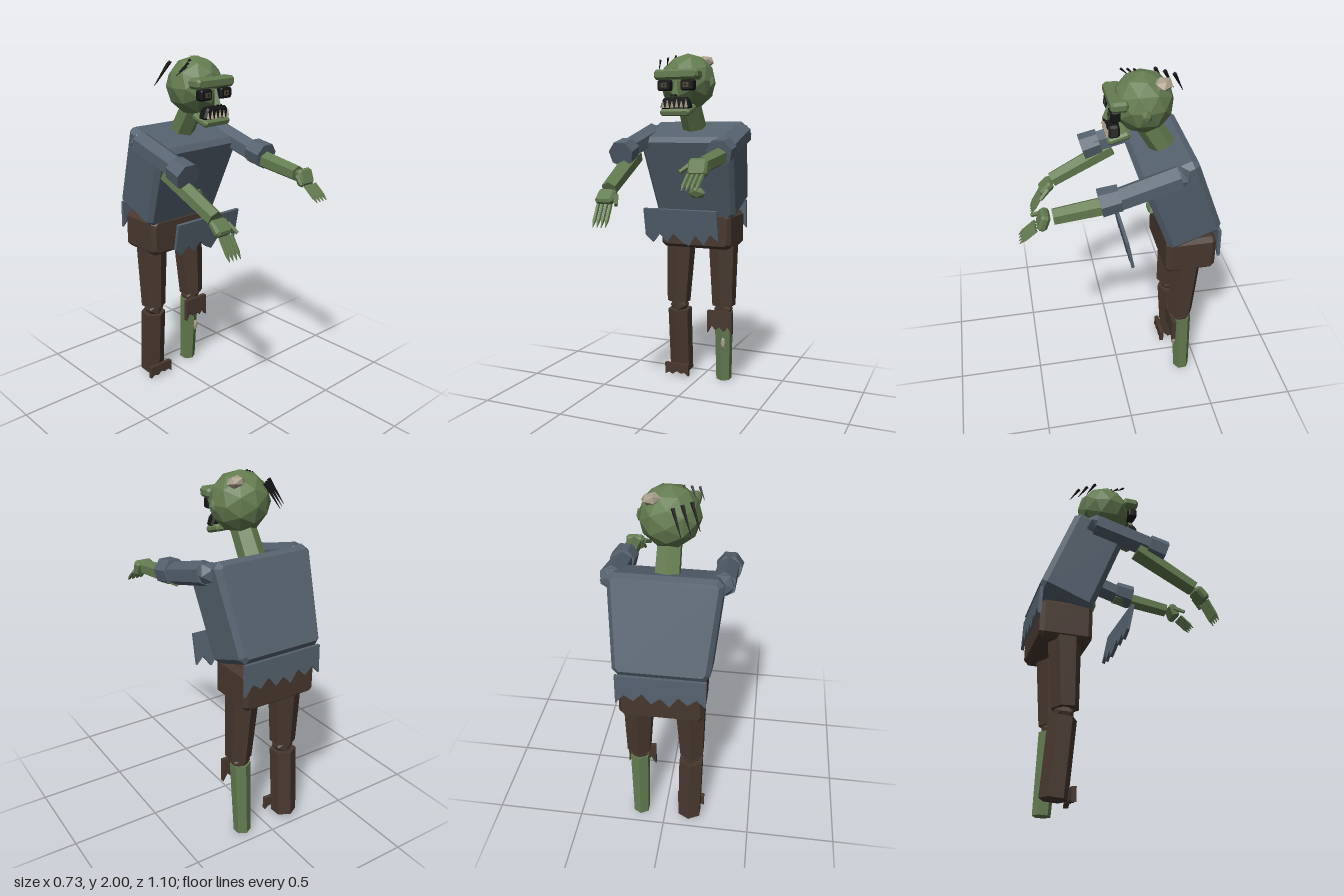
import * as THREE from 'three';

const flat = (name, color, double) => {
  const m = new THREE.MeshStandardMaterial({ color });
  m.name = name;
  m.flatShading = true;
  if (double) m.side = THREE.DoubleSide;
  return m;
};

export function createModel() {
  const skin = flat('skin', 0x647c50);
  const shirt = flat('shirt', 0x55626f, true);
  const pants = flat('trousers', 0x48382f, true);
  const bone = flat('bone', 0xa89e8a);
  const black = flat('black', 0x151515);
  const iris = flat('dull eye', 0x4a4632);

  const model = new THREE.Group();
  model.name = 'undeadFigure';
  const V = (p) => new THREE.Vector3(...p);

  const add = (name, geo, mat, pos = [0, 0, 0], rot = [0, 0, 0]) => {
    const mesh = new THREE.Mesh(geo, mat);
    mesh.name = name;
    mesh.position.set(...pos);
    mesh.rotation.set(...rot);
    model.add(mesh);
    return mesh;
  };

  // Tapered prism running from point a to point b
  const limb = (name, a, b, ra, rb, mat, sides = 6) => {
    const from = V(a), dir = V(b).sub(from);
    const mesh = add(name, new THREE.CylinderGeometry(rb, ra, dir.length(), sides), mat);
    mesh.position.copy(from).addScaledVector(dir, 0.5);
    mesh.quaternion.setFromUnitVectors(new THREE.Vector3(0, 1, 0), dir.normalize());
    return mesh;
  };

  // Box with chamfered edges, optionally narrower at the bottom
  const chamferBox = (wTop, wBottom, h, d, c) => {
    const t = wTop / 2, b = wBottom / 2, y = h / 2;
    const shape = new THREE.Shape([
      [-b + c, -y], [b - c, -y], [b, -y + c], [t, y - c],
      [t - c, y], [-t + c, y], [-t, y - c], [-b, -y + c],
    ].map(([px, py]) => new THREE.Vector2(px, py)));
    const geo = new THREE.ExtrudeGeometry(shape, {
      depth: d - 2 * c, bevelEnabled: true, bevelThickness: c,
      bevelSize: c * 0.8, bevelOffset: -c * 0.8, bevelSegments: 1,
    });
    return geo.translate(0, 0, -d / 2 + c);
  };

  // Faceted lump
  const lump = (name, mat, pos, size, rot, detail = 0) => {
    add(name, new THREE.IcosahedronGeometry(1, detail), mat, pos, rot).scale.set(...size);
  };

  // Cloth plate with a ragged lower edge, hung from its top centre
  const tornCloth = (name, mat, w, drops, thick, pos, tilt) => {
    const shape = new THREE.Shape();
    shape.moveTo(w / 2, 0).lineTo(-w / 2, 0);
    drops.forEach((d, i) => shape.lineTo(w * (i / (drops.length - 1) - 0.5), -d));
    const geo = new THREE.ExtrudeGeometry(shape, { depth: thick, bevelEnabled: false });
    add(name, geo.translate(0, 0, -thick / 2), mat, pos, [tilt, 0, 0]);
  };

  // Head, missing one ear, with an exposed patch of skull
  add('head', new THREE.IcosahedronGeometry(0.16, 1), skin, [0.003, 1.84, -0.135]);
  add('brow', chamferBox(0.265, 0.265, 0.055, 0.09, 0.014), skin, [0, 1.873, 0.005]);
  lump('ear', skin, [0.155, 1.83, -0.123], [0.018, 0.04, 0.03]);
  lump('skullPatch', bone, [0.083, 1.96, -0.218], [0.05, 0.032, 0.05], [0.2, 0.4, -0.2]);
  limb('neck', [0, 1.5, -0.295], [0, 1.74, -0.145], 0.072, 0.066, skin);

  // Eyes
  for (const s of [-1, 1]) {
    add('eyeSocket', chamferBox(0.08, 0.08, 0.058, 0.05, 0.008), black, [s * 0.07, 1.814, 0.022]);
    add('eye', new THREE.BoxGeometry(0.034, 0.026, 0.008), iris, [s * 0.066, 1.814, 0.048]);
    add('pupil', new THREE.BoxGeometry(0.01, 0.012, 0.006), black, [s * 0.064, 1.814, 0.052]);
  }

  // Nose, mouth, jaw and teeth
  limb('nose', [0, 1.757, 0.052], [0, 1.84, 0.035], 0.022, 0.008, skin, 4);
  for (const s of [-1, 1])
    add('nostril', new THREE.BoxGeometry(0.01, 0.012, 0.008), black, [s * 0.01, 1.757, 0.065]);
  add('mouth', chamferBox(0.15, 0.18, 0.065, 0.06, 0.012), black, [0, 1.715, 0.024]);
  add('jaw', chamferBox(0.18, 0.18, 0.04, 0.12, 0.012), skin, [0, 1.678, 0.0], [0.3, 0, 0]);
  for (let i = 0; i < 6; i++) {
    const x = -0.07 + i * 0.028;
    limb('tooth', [x, 1.69, 0.056], [x, 1.725 + (i % 2) * 0.008, 0.056], 0.011, 0.002, bone, 4);
  }

  // Hair strands: long at the back, short on the crown
  for (let i = 0; i < 3; i++) {
    const x = -0.032 - i * 0.04, z = -0.302 + i * 0.04;
    limb('longHair', [x, 1.957, z], [x - 0.05, 1.835, z - 0.065], 0.011, 0.001, black, 4);
    const sx = -0.058 - i * 0.036, sz = -0.1 + i * 0.026, sy = 1.985 - i * 0.013;
    limb('shortHair', [sx, sy, sz], [sx - 0.03, sy - 0.05, sz - 0.046], 0.008, 0.001, black, 4);
  }

  // Torso leaning forward, belly wound and torn shirt hems
  add('torso', chamferBox(0.58, 0.5, 0.52, 0.31, 0.03), shirt, [0, 1.33, -0.312], [0.365, 0, 0]);
  lump('bellyWound', skin, [0.04, 1.2, -0.185], [0.06, 0.04, 0.022], [0.36, 0, 0]);
  tornCloth('frontHem', shirt, 0.455,
    [0.16, 0.205, 0.15, 0.2, 0.145, 0.19, 0.215, 0.15, 0.205, 0.14, 0.18], 0.018, [0, 1.115, -0.02], 0.19);
  tornCloth('backHem', shirt, 0.47,
    [0.16, 0.11, 0.15, 0.105, 0.17, 0.12, 0.16, 0.1, 0.15, 0.115, 0.175], 0.018, [0, 1.135, -0.534], 0.03);

  // Arms: shoulder, sleeve, cuff, forearm, hand
  const arms = [
    { name: 'left', s: 1, shoulder: [0.282, 1.545, -0.27], sleeveEnd: [0.293, 1.452, 0.06],
      cuff: [[0.293, 1.468, 0.035], [0.293, 1.447, 0.138]], elbow: [0.293, 1.44, 0.03], wrist: [0.292, 1.395, 0.375],
      hand: [0.292, 1.385, 0.425], tilt: -0.35, knuckle: [0.292, 1.35, 0.465], tip: [0.292, 1.278, 0.553],
      thumb: [[0.242, 1.395, 0.42], [0.212, 1.362, 0.478]] },
    { name: 'right', s: -1, shoulder: [-0.28, 1.545, -0.26], sleeveEnd: [-0.287, 1.455, 0.08],
      cuff: [[-0.289, 1.462, 0.045], [-0.289, 1.432, 0.145]], elbow: [-0.285, 1.42, -0.02], wrist: [-0.267, 1.25, 0.325],
      hand: [-0.264, 1.213, 0.363], tilt: -0.8, knuckle: [-0.258, 1.175, 0.395], tip: [-0.254, 1.06, 0.463],
      thumb: [[-0.208, 1.222, 0.355], [-0.182, 1.175, 0.405]] },
  ];
  for (const a of arms) {
    lump(a.name + 'Shoulder', shirt, a.shoulder, [0.062, 0.062, 0.062]);
    limb(a.name + 'Sleeve', a.shoulder, a.sleeveEnd, 0.066, 0.062, shirt);
    limb(a.name + 'Cuff', ...a.cuff, 0.07, 0.076, shirt, 7);
    limb(a.name + 'Forearm', a.elbow, a.wrist, 0.053, 0.045, skin);
    add(a.name + 'Hand', chamferBox(0.105, 0.105, 0.092, 0.048, 0.014), skin, a.hand, [a.tilt, 0, 0]);
    for (let i = 0; i < 4; i++) {
      const dx = (i - 1.5) * 0.025, k = a.knuckle, t = a.tip;
      const mid = [0, 1, 2].map((n) => k[n] + (t[n] - k[n]) * 0.7);
      limb(a.name + 'Finger', [k[0] + dx, k[1], k[2]], [mid[0] + dx, mid[1], mid[2]], 0.011, 0.011, skin, 5);
      limb(a.name + 'Nail', [mid[0] + dx, mid[1], mid[2]], [t[0] + dx, t[1], t[2]], 0.011, 0.002, skin, 5);
    }
    limb(a.name + 'Thumb', ...a.thumb, 0.016, 0.011, skin, 5);
  }

  // Hips and legs
  add('hips', chamferBox(0.45, 0.45, 0.22, 0.285, 0.025), pants, [0, 0.965, -0.388]);
  for (const s of [-1, 1]) {
    limb('thigh', [s * 0.152, 0.49, -0.365], [s * 0.138, 0.97, -0.383], 0.073, 0.096, pants);
    lump('knee', pants, [s * 0.148, 0.465, -0.37], [0.06, 0.06, 0.06]);
  }
  limb('rightShin', [-0.147, 0.03, -0.405], [-0.149, 0.44, -0.375], 0.073, 0.075, pants);
  limb('leftShin', [0.144, 0.004, -0.4], [0.147, 0.45, -0.378], 0.049, 0.058, skin);
  lump('shinBone', bone, [0.16, 0.25, -0.335], [0.016, 0.04, 0.016]);
  tornCloth('rightTrouserHem', pants, 0.16,
    [0.075, 0.06, 0.07, 0.05, 0.062, 0.055, 0.075], 0.025, [-0.146, 0.085, -0.323], 0);
  tornCloth('leftTrouserHem', pants, 0.16,
    [0.14, 0.09, 0.12, 0.1, 0.125, 0.095, 0.14], 0.025, [0.145, 0.46, -0.315], 0);

  return model;
}
